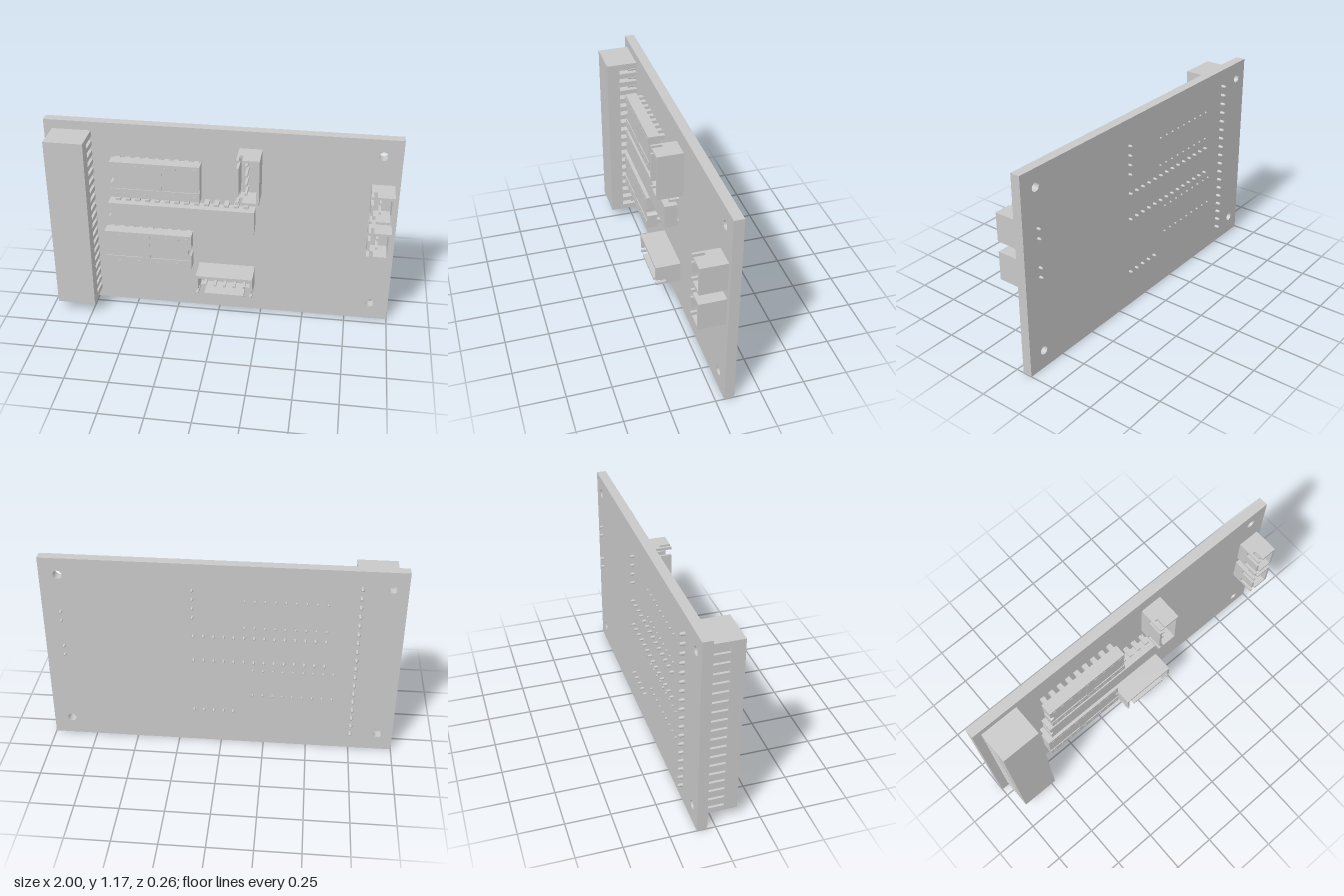
import * as THREE from 'three';

const greyMat = new THREE.MeshStandardMaterial({ color: 0xc8c8c8 });
greyMat.name = 'light grey';

const BACK = -0.103, FACE = -0.047, TAIL = -0.131, PITCH = 0.0567;

function add(parent, geometry, name) {
  const mesh = new THREE.Mesh(geometry, greyMat);
  mesh.name = name;
  parent.add(mesh);
  return mesh;
}

// Box given by its limits on each axis
function box(parent, name, x0, x1, y0, y1, z0, z1) {
  const mesh = add(parent, new THREE.BoxGeometry(x1 - x0, y1 - y0, z1 - z0), name);
  mesh.position.set((x0 + x1) / 2, (y0 + y1) / 2, (z0 + z1) / 2);
  return mesh;
}

// Round pin through the board with a tapered tail
function pin(parent, x, y, r, top, tail = TAIL) {
  const profile = [[0, tail], [r * 0.5, tail], [r, tail + 0.008], [r, top], [0, top]];
  const g = new THREE.LatheGeometry(profile.map(p => new THREE.Vector2(...p)), 8);
  g.rotateX(Math.PI / 2);
  add(parent, g, 'pin').position.set(x, y, 0);
}

function extrude(shape, z0, z1) {
  const g = new THREE.ExtrudeGeometry(shape, { depth: z1 - z0, bevelEnabled: false, curveSegments: 10 });
  return g.translate(0, 0, z0);
}

// Block centred on the origin with a half-round notch in its left end
function notched(parent, name, w, h, r, z0, z1) {
  const s = new THREE.Shape();
  s.moveTo(-w / 2, -h / 2);
  s.lineTo(w / 2, -h / 2);
  s.lineTo(w / 2, h / 2);
  s.lineTo(-w / 2, h / 2);
  s.lineTo(-w / 2, r);
  s.absarc(-w / 2, 0, r, Math.PI / 2, -Math.PI / 2, true);
  s.closePath();
  return add(parent, extrude(s, z0, z1), name);
}

// Flat board with four screw holes
function board(parent) {
  const s = new THREE.Shape([[-1, 0], [1, 0], [1, 1.175], [-1, 1.175]].map(p => new THREE.Vector2(...p)));
  for (const x of [-0.915, 0.895]) for (const y of [0.109, 1.075]) {
    s.holes.push(new THREE.Path().absarc(x, y, 0.025, 0, Math.PI * 2, true));
  }
  add(parent, extrude(s, BACK, FACE), 'board');
}

// Tall edge connector with a fin between every two contacts
function edgeConnector() {
  const g = new THREE.Group();
  g.name = 'edgeConnector';
  box(g, 'connectorCore', -0.938, -0.775, 0.07, 1.115, FACE, 0.1);
  box(g, 'connectorFace', -0.953, -0.73, 0.063, 1.122, 0.06, 0.134);
  for (const y of [0.063, 1.108]) box(g, 'connectorEnd', -0.953, -0.73, y, y + 0.014, FACE, 0.061);
  for (let i = 0; i <= 18; i++) {
    const y = 0.109 + (i - 0.5) * PITCH;
    box(g, 'connectorFin', -0.953, -0.73, y - 0.014, y + 0.014, FACE, 0.061);
    if (i < 18) pin(g, -0.755, 0.109 + i * PITCH, 0.01, 0);
  }
  return g;
}

// Narrow chip with fourteen legs along each long side
function longChip() {
  const g = new THREE.Group();
  g.name = 'longChip';
  notched(g, 'chipBody', 0.838, 0.142, 0.015, -0.025, 0.05);
  for (let i = 0; i < 14; i++) for (const side of [-1, 1]) {
    const x = (i - 6.5) * PITCH;
    box(g, 'chipLeg', x - 0.014, x + 0.014, side * 0.077 - 0.008, side * 0.077 + 0.008, FACE, 0.012);
    pin(g, x, side * 0.08, 0.008, FACE + 0.01, -0.125);
  }
  g.position.set(-0.212, 0.65, 0);
  return g;
}

// Wide chip in a socket: two rails, a notched middle and nine contacts a side
function socket(x, y, turn) {
  const g = new THREE.Group();
  g.name = 'socketedChip';
  notched(g, 'socketMiddle', 0.51, 0.13, 0.022, -0.01, 0.05);
  box(g, 'socketBar', -0.01, 0.04, -0.06, 0.06, -0.01, 0.053);
  for (const side of [-1, 1]) {
    const a = side * 0.055, b = side * 0.11;
    box(g, 'socketRail', -0.255, 0.255, Math.min(a, b), Math.max(a, b), -0.012, 0.055);
    for (let i = 0; i < 9; i++) {
      const px = (i - 4) * PITCH;
      box(g, 'socketLeg', px - 0.014, px + 0.014, side * 0.085 - 0.014, side * 0.085 + 0.014, FACE, -0.01);
      box(g, 'socketContact', px - 0.01, px + 0.01, side * 0.085 - 0.006, side * 0.085 + 0.006, 0.05, 0.057);
      pin(g, px, side * 0.085, 0.007, FACE + 0.01, -0.112);
    }
  }
  g.position.set(x, y, 0);
  g.rotation.z = turn;
  return g;
}

// Open shrouded header along y, with its slotted key wall on the -x side
function header(x, y, length, pins, turn = 0) {
  const g = new THREE.Group();
  g.name = 'header';
  const w = 0.064, h = length / 2, t = 0.015, top = 0.102;
  box(g, 'headerFloor', -w, w, -h, h, FACE, -0.025);
  box(g, 'headerBackWall', w - t, w, -h, h, -0.025, top);
  for (const s of [-1, 1]) {
    const a = Math.min(s * h, s * (h - t)), b = a + t;
    box(g, 'headerEndWall', -0.03, w - t, a, b, -0.025, top);
    box(g, 'headerEndSill', -w, -0.03, a, b, -0.025, 0.04);
    box(g, 'headerCorner', -w, -w + t, a, b, 0.04, top);
  }
  // Key wall, cut by two slots
  box(g, 'headerKeySill', -w, -w + t, -h + t, h - t, -0.025, 0.015);
  box(g, 'headerKeyWall', -w, -w + t, -h + 0.05, h - 0.05, 0.015, top);
  for (let i = 0; i < pins; i++) {
    const py = (i - (pins - 1) / 2) * PITCH;
    pin(g, -0.012, py, 0.008, -0.02, -0.125);
    box(g, 'headerContact', -0.019, -0.005, py - 0.007, py + 0.007, -0.025, 0.075);
  }
  g.position.set(x, y, 0);
  g.rotation.z = turn;
  return g;
}

export function createModel() {
  const model = new THREE.Group();
  model.name = 'circuitBoard';
  board(model);
  model.add(
    edgeConnector(),
    longChip(),
    socket(-0.355, 0.876, 0),
    socket(-0.408, 0.425, Math.PI),
    header(0.172, 0.934, 0.275, 4),
    header(0.043, 0.238, 0.33, 5, Math.PI / 2),
    header(0.907, 0.819, 0.165, 2),
    header(0.907, 0.594, 0.165, 2),
  );
  return model;
}
